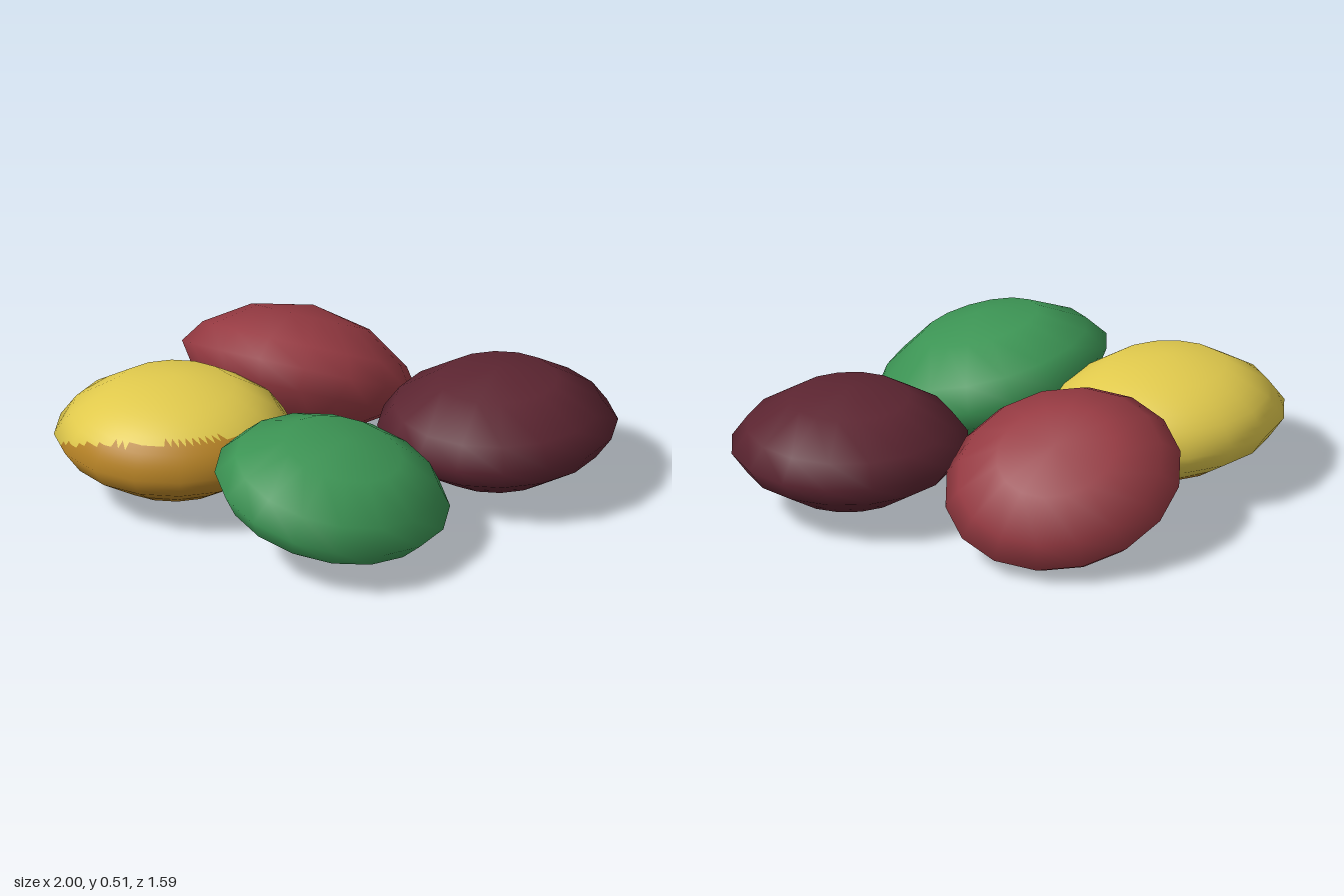
import * as THREE from 'three';

const SIDES = 16, RINGS = 6;
const mat = (name, color) => {
  const m = new THREE.MeshStandardMaterial({ color });
  m.name = name;
  return m;
};

// Corner of the coarse lozenge: a sphere grid with a thinned rim
function corner(i, j) {
  const a = (i / SIDES) * Math.PI * 2, t = (j / RINGS) * Math.PI;
  const r = Math.sin(t), h = Math.cos(t);
  return new THREE.Vector3(-Math.cos(a) * r, Math.sign(h) * Math.abs(h) ** 1.45, Math.sin(a) * r);
}

// Unit lozenge; detail splits each flat facet without rounding its outline
function lozenge(detail = 1) {
  const g = new THREE.SphereGeometry(1, SIDES * detail, RINGS * detail);
  const { position, normal, uv } = g.attributes;
  for (let k = 0; k < position.count; k++) {
    const u = uv.getX(k) * SIDES, v = (1 - uv.getY(k)) * RINGS;
    const i = Math.floor(u + 1e-4), j = Math.min(Math.floor(v + 1e-4), RINGS - 1);
    const top = corner(i, j).lerp(corner(i + 1, j), u - i);
    const low = corner(i, j + 1).lerp(corner(i + 1, j + 1), u - i);
    const p = top.lerp(low, v - j);
    position.setXYZ(k, p.x, p.y, p.z);
    const n = p.clone().normalize();
    normal.setXYZ(k, n.x, n.y, n.z);
  }
  return g;
}

// Sort triangles into two material groups
function splitColours(g, isSecond) {
  const first = [], second = [], idx = g.index.array, c = new THREE.Vector3(), p = new THREE.Vector3();
  for (let k = 0; k < idx.length; k += 3) {
    c.set(0, 0, 0);
    for (let n = 0; n < 3; n++) c.add(p.fromBufferAttribute(g.attributes.position, idx[k + n]));
    (isSecond(c.divideScalar(3)) ? second : first).push(idx[k], idx[k + 1], idx[k + 2]);
  }
  g.setIndex(first.concat(second));
  g.clearGroups();
  g.addGroup(0, first.length, 0);
  g.addGroup(first.length, second.length, 1);
  return g;
}

export function createModel() {
  const model = new THREE.Group();
  model.name = 'sweets';
  const size = [0.427, 0.223, 0.379];

  const add = (name, geometry, material, pos, tiltX = 0, tiltZ = 0) => {
    const m = new THREE.Mesh(geometry, material);
    m.name = name;
    m.scale.set(...size);
    m.position.set(...pos);
    m.rotation.set(THREE.MathUtils.degToRad(tiltX), 0, THREE.MathUtils.degToRad(tiltZ));
    model.add(m);
  };

  const plain = lozenge();
  add('maroonSweet', plain, mat('maroon', 0x5c2531), [0.572, 0.25, -0.017]);
  add('greenSweet', plain, mat('green', 0x3c9454), [-0.037, 0.25, 0.428], 8, -12);
  add('redSweet', plain, mat('red', 0x963a42), [-0.105, 0.25, -0.452], -28, -14);

  // Yellow sweet with an amber patch over its lower front
  const twoTone = splitColours(lozenge(5), (c) => {
    const x = c.x * size[0], y = c.y * size[1], z = c.z * size[2];
    return z - 1.96 * y + 0.2 * Math.max(x, 0) > 0.07 && y < 0.11;
  });
  add('yellowSweet', twoTone, [mat('yellow', 0xe0c94c), mat('amber', 0xb78326)], [-0.572, 0.25, -0.017]);

  return model;
}
